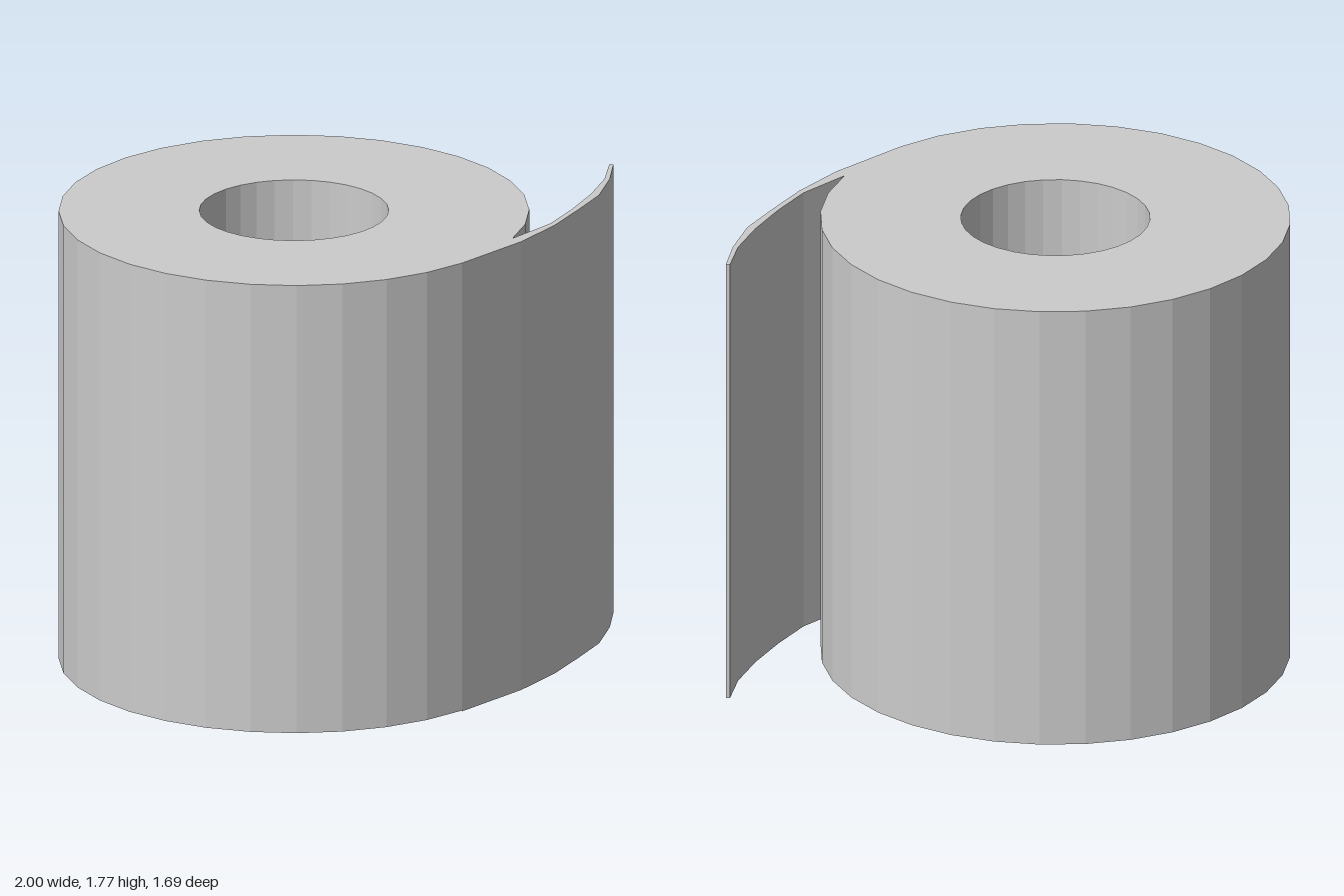
import * as THREE from 'three';

const CENTER_X = -0.155, RADIUS = 0.847, HOLE = 0.341, SIDES = 32;
const EDGE_Y = 0.07, TOP_Y = 1.77;

export function createModel() {
  const group = new THREE.Group();
  group.name = 'paperRoll';
  const material = new THREE.MeshStandardMaterial({ color: 0xcccccc, flatShading: true });

  // Wound roll: flat top, through hole, underside sagging towards the core
  const profile = [
    [HOLE, 0], [RADIUS, EDGE_Y], [RADIUS, TOP_Y], [HOLE, TOP_Y], [HOLE, 0],
  ].map(([r, y]) => new THREE.Vector2(r, y));
  const roll = new THREE.Mesh(new THREE.LatheGeometry(profile, SIDES), material);
  roll.name = 'roll';
  roll.position.x = CENTER_X;
  group.add(roll);

  // Loose end: a thin curved sheet peeling off the roll, outlined as [x, z]
  const rim = (step) => {
    const a = (step / SIDES) * Math.PI * 2;
    return [CENTER_X + RADIUS * Math.cos(a), RADIUS * Math.sin(a)];
  };
  const outline = [
    rim(4), [0.66, 0.36], [0.78, 0.18], [0.87, 0], [0.945, -0.16], [0.985, -0.34], [1, -0.5],
    [0.985, -0.5], [0.966, -0.34], [0.915, -0.17], [0.845, 0], [0.765, 0.16], rim(2), rim(3),
  ];
  const shape = new THREE.Shape(outline.map(([x, z]) => new THREE.Vector2(x, -z)));
  const sheetGeometry = new THREE.ExtrudeGeometry(shape, { depth: TOP_Y - 0.067, bevelEnabled: false });
  sheetGeometry.rotateX(-Math.PI / 2);
  const sheet = new THREE.Mesh(sheetGeometry, material);
  sheet.name = 'looseSheet';
  sheet.position.y = 0.067;
  group.add(sheet);

  return group;
}
